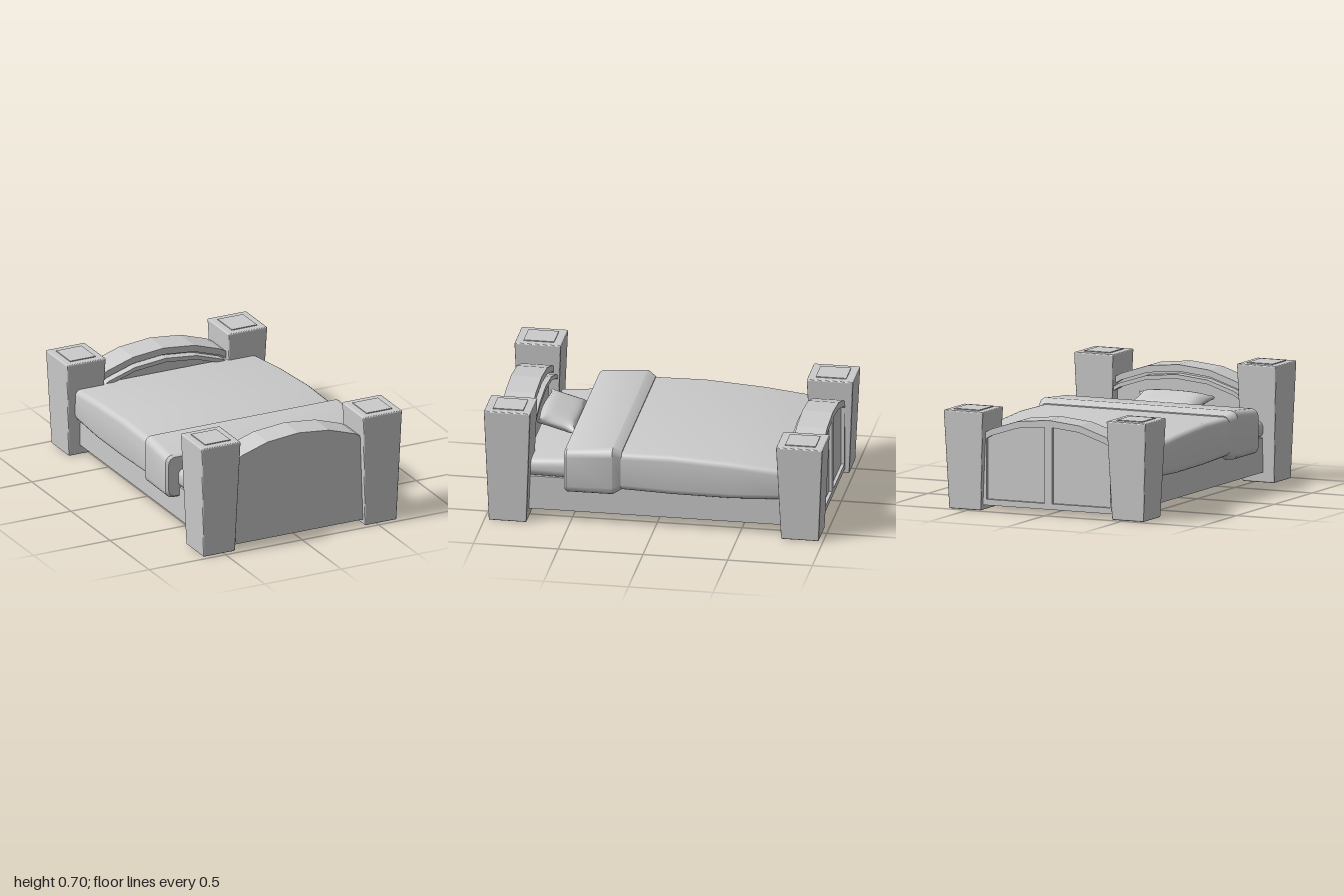
import * as THREE from 'three';
import { toCreasedNormals } from 'three/addons/utils/BufferGeometryUtils.js';
import { RoundedBoxGeometry } from 'three/addons/geometries/RoundedBoxGeometry.js';

const flat = new THREE.MeshStandardMaterial({ color: 0xcccccc, flatShading: true });
const smooth = new THREE.MeshStandardMaterial({ color: 0xcccccc });

function add(parent, name, geometry, material = flat) {
  const mesh = new THREE.Mesh(geometry, material);
  mesh.name = name;
  parent.add(mesh);
  return mesh;
}

// Faceted arch: height of the board's top edge at x
const ARCH = [[0, 0.655], [0.2, 0.635], [0.37, 0.58], [0.43, 0.545]];
function archY(x) {
  const a = Math.abs(x);
  const i = Math.max(1, ARCH.findIndex(p => p[0] >= a));
  const [x0, y0] = ARCH[i - 1], [x1, y1] = ARCH[i];
  return y0 + (y1 - y0) * (a - x0) / (x1 - x0);
}

// Outline from x0 to x1 between the arch (shifted by top) and a bottom height or a lower arch
function archOutline(x0, x1, top, bottom) {
  const xs = [x0, -0.37, -0.2, 0, 0.2, 0.37, x1].filter((x, i) => i === 0 || i === 6 || (x > x0 && x < x1));
  const upper = xs.map(x => new THREE.Vector2(x, archY(x) + top));
  const lower = bottom.arch !== undefined
    ? xs.map(x => new THREE.Vector2(x, archY(x) + bottom.arch))
    : [new THREE.Vector2(x0, bottom.y), new THREE.Vector2(x1, bottom.y)];
  return [...lower, ...upper.reverse()];
}

function slab(points, z0, z1, holes = []) {
  const shape = new THREE.Shape(points);
  shape.holes = holes.map(h => new THREE.Path(h));
  return new THREE.ExtrudeGeometry(shape, { depth: z1 - z0, bevelEnabled: false }).translate(0, 0, z0);
}

// End board with its outer face towards +z
function endBoard(name, drop, panelled) {
  const g = new THREE.Group();
  g.name = name;
  const W = 0.43;
  add(g, 'boardCore', slab(archOutline(-W, W, -drop - 0.004, { y: 0.03 }), 0.8, panelled ? 0.93 : 0.949));
  add(g, 'archCap', slab(archOutline(-W, W, -drop, { arch: -drop - 0.04 }), 0.77, 0.95));
  add(g, 'archMoulding', slab(archOutline(-W, W, -drop - 0.055, { arch: -drop - 0.08 }), 0.745, 0.81));
  if (panelled) {
    const holes = [[-0.4, -0.025], [0.025, 0.4]].map(([a, b]) => archOutline(a, b, -drop - 0.035, { y: 0.065 }));
    add(g, 'panelFrame', slab(archOutline(-W, W, -drop - 0.002, { y: 0.03 }), 0.92, 0.949, holes));
  }
  return g;
}

// Post that widens towards the top, with a thin raised square on its end
function post(name, x, z, height) {
  const g = new THREE.Group();
  g.name = name;
  const geo = new RoundedBoxGeometry(0.255, height, 0.275, 2, 0.008);
  const p = geo.attributes.position;
  for (let i = 0; i < p.count; i++) {
    const k = 0.81 + 0.19 * (p.getY(i) / height + 0.5);
    p.setXYZ(i, p.getX(i) * k, p.getY(i) + height / 2, p.getZ(i) * k);
  }
  add(g, 'postBody', geo);
  add(g, 'postTopPanel', new THREE.BoxGeometry(0.165, 0.01, 0.18)).position.y = height;
  g.position.set(x, 0, z);
  return g;
}

// Closed loft along z through rounded rectangles: [z, halfWidth, bottom, top, radius]
function loft(sections) {
  const pos = [], idx = [], steps = 4, n = 4 * (steps + 1);
  for (const [z, w, y0, y1, r] of sections) {
    const corners = [[w - r, y1 - r], [r - w, y1 - r], [r - w, y0 + r], [w - r, y0 + r]];
    corners.forEach(([cx, cy], q) => {
      for (let k = 0; k <= steps; k++) {
        const a = (q + k / steps) * Math.PI / 2;
        pos.push(cx + r * Math.cos(a), cy + r * Math.sin(a), z);
      }
    });
  }
  const last = sections.length - 1;
  for (let s = 0; s < last; s++) {
    for (let i = 0; i < n; i++) {
      const a = s * n + i, b = s * n + (i + 1) % n;
      idx.push(a, b, b + n, a, b + n, a + n);
    }
  }
  // end caps
  const centre = pos.length / 3;
  for (const s of [0, last]) pos.push(0, (sections[s][2] + sections[s][3]) / 2, sections[s][0]);
  for (let i = 0; i < n; i++) {
    const j = (i + 1) % n;
    idx.push(centre, j, i, centre + 1, last * n + i, last * n + j);
  }
  const geo = new THREE.BufferGeometry();
  geo.setAttribute('position', new THREE.Float32BufferAttribute(pos, 3));
  geo.setIndex(idx);
  return toCreasedNormals(geo, 0.6);
}

// Cushion with pulled-out corners and slightly concave ends
function pillowGeometry() {
  const geo = new THREE.BoxGeometry(2, 2, 2, 20, 2, 14);
  const p = geo.attributes.position;
  for (let i = 0; i < p.count; i++) {
    const u = p.getX(i), s = p.getY(i), v = p.getZ(i);
    const puff = 0.012 + 0.036 * Math.sqrt((1 - u ** 4) * (1 - v ** 4));
    const edge = 1 - 0.04 * (1 - s * s) * -1;
    p.setXYZ(i,
      u * (0.205 + 0.032 * v ** 4) * edge,
      s * puff,
      v * (0.118 - 0.022 * u * u + 0.014 * u ** 8) * edge);
  }
  return toCreasedNormals(geo, 1.2);
}

export function createModel() {
  const bed = new THREE.Group();
  bed.name = 'bed';

  // Posts at the four corners, the front pair taller
  for (const side of [-1, 1]) {
    const label = side > 0 ? 'Left' : 'Right';
    bed.add(post('headPost' + label, side * 0.5275, 0.8625, 0.692));
    bed.add(post('footPost' + label, side * 0.5275, -0.8625, 0.582));
  }

  // Head and foot boards
  bed.add(endBoard('headboard', 0, false));
  const foot = endBoard('footboard', 0.1, true);
  foot.rotation.y = Math.PI;
  bed.add(foot);

  // Base between the boards
  add(bed, 'bedBase', new THREE.BoxGeometry(1.12, 0.205, 1.62)).position.y = 0.1625;

  // Mattress
  add(bed, 'mattress', loft([
    [-0.76, 0.56, 0.26, 0.37, 0.045],
    [0.5, 0.57, 0.26, 0.385, 0.045],
    [0.77, 0.565, 0.26, 0.365, 0.045],
  ]), smooth);

  // Blanket, sinking towards the foot
  add(bed, 'blanket', loft([
    [-0.775, 0.59, 0.228, 0.408, 0.035],
    [-0.72, 0.598, 0.225, 0.417, 0.035],
    [-0.45, 0.608, 0.216, 0.443, 0.035],
    [-0.1, 0.613, 0.22, 0.463, 0.035],
    [0.25, 0.613, 0.232, 0.458, 0.035],
  ]), smooth);

  // Folded-back part of the blanket
  add(bed, 'blanketFold', loft([
    [0.195, 0.61, 0.228, 0.465, 0.035],
    [0.245, 0.642, 0.203, 0.492, 0.045],
    [0.515, 0.645, 0.203, 0.47, 0.045],
    [0.53, 0.632, 0.215, 0.458, 0.04],
  ]), smooth);

  // Pillow leaning towards the headboard
  const pillow = add(bed, 'pillow', pillowGeometry(), smooth);
  pillow.position.set(0, 0.448, 0.643);
  pillow.rotation.x = -0.27;

  return bed;
}
